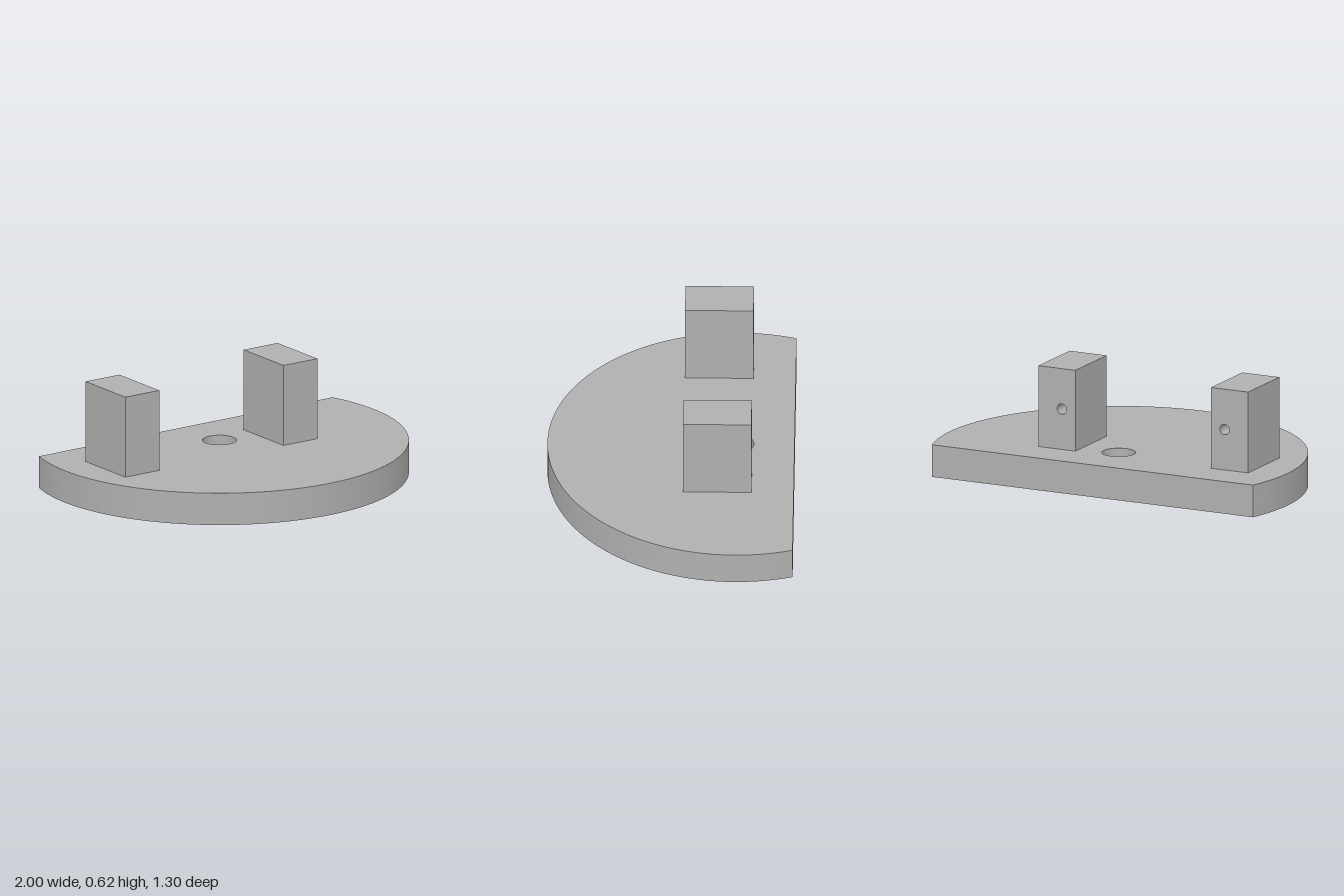
import * as THREE from 'three';
import { toCreasedNormals } from 'three/addons/utils/BufferGeometryUtils.js';

const CZ = -0.35;          // z of the disc centre
const BACK = -0.655;       // z of the flat back edge
const THICK = 0.175, SLOT_DEPTH = 0.06;

const grey = new THREE.MeshStandardMaterial({ color: 0xb0b0b0 });
grey.name = 'grey';

function extrude(shape, depth) {
  return new THREE.ExtrudeGeometry(shape, { depth, bevelEnabled: false, curveSegments: 72 });
}

function part(name, geometry) {
  const mesh = new THREE.Mesh(toCreasedNormals(geometry, 0.5), grey);
  mesh.name = name;
  return mesh;
}

// Disc with one side cut straight, drawn in plan with shape y = -z
function plateShape(hole) {
  const a = Math.asin(CZ - BACK);
  const shape = new THREE.Shape();
  shape.absarc(0, -CZ, 1, Math.PI - a, 2 * Math.PI + a, false);
  shape.closePath();
  shape.holes.push(hole);
  return shape;
}

function roundHole(x, y, r) {
  const hole = new THREE.Path();
  hole.absarc(x, y, r, 0, Math.PI * 2, true);
  return hole;
}

// Long slot that widens to a circle in the middle
function slotHole() {
  const w = 0.083, r = 0.13, half = 0.64, b = Math.asin(w / r);
  const hole = new THREE.Path();
  hole.absarc(0, -CZ, r, Math.PI + b, 2 * Math.PI - b, false);
  hole.lineTo(half, -CZ - w);
  hole.lineTo(half, -CZ + w);
  hole.absarc(0, -CZ, r, b, Math.PI - b, false);
  hole.lineTo(-half, -CZ + w);
  hole.lineTo(-half, -CZ - w);
  hole.closePath();
  return hole;
}

// Upright block with a blind hole in its back face
function post(name, x, holeX) {
  const w = 0.22, h = 0.44, z0 = -0.432, z1 = -0.07, drill = 0.2;
  const shape = new THREE.Shape();
  shape.moveTo(x - w / 2, THICK);
  shape.lineTo(x + w / 2, THICK);
  shape.lineTo(x + w / 2, THICK + h);
  shape.lineTo(x - w / 2, THICK + h);
  shape.closePath();
  shape.holes.push(roundHole(holeX, THICK + h / 2, 0.028));
  const group = new THREE.Group();
  group.name = name;
  const rear = extrude(shape, drill).translate(0, 0, z0);
  const depth = z1 - z0 - drill;
  const front = new THREE.BoxGeometry(w, h, depth).translate(x, THICK + h / 2, z1 - depth / 2);
  group.add(part('drilledBlock', rear), part('solidBlock', front));
  return group;
}

export function createModel() {
  const model = new THREE.Group();
  model.name = 'baseWithPosts';

  // Base plate: slotted underside layer and pierced top layer
  const lower = extrude(plateShape(slotHole()), SLOT_DEPTH).rotateX(-Math.PI / 2);
  const upper = extrude(plateShape(roundHole(0, -CZ, 0.09)), THICK - SLOT_DEPTH)
    .rotateX(-Math.PI / 2).translate(0, SLOT_DEPTH, 0);
  model.add(part('slottedBase', lower), part('topPlate', upper));

  // Two posts, their holes set towards each other
  model.add(post('rightPost', -0.7, -0.67), post('leftPost', 0.325, 0.295));
  return model;
}
